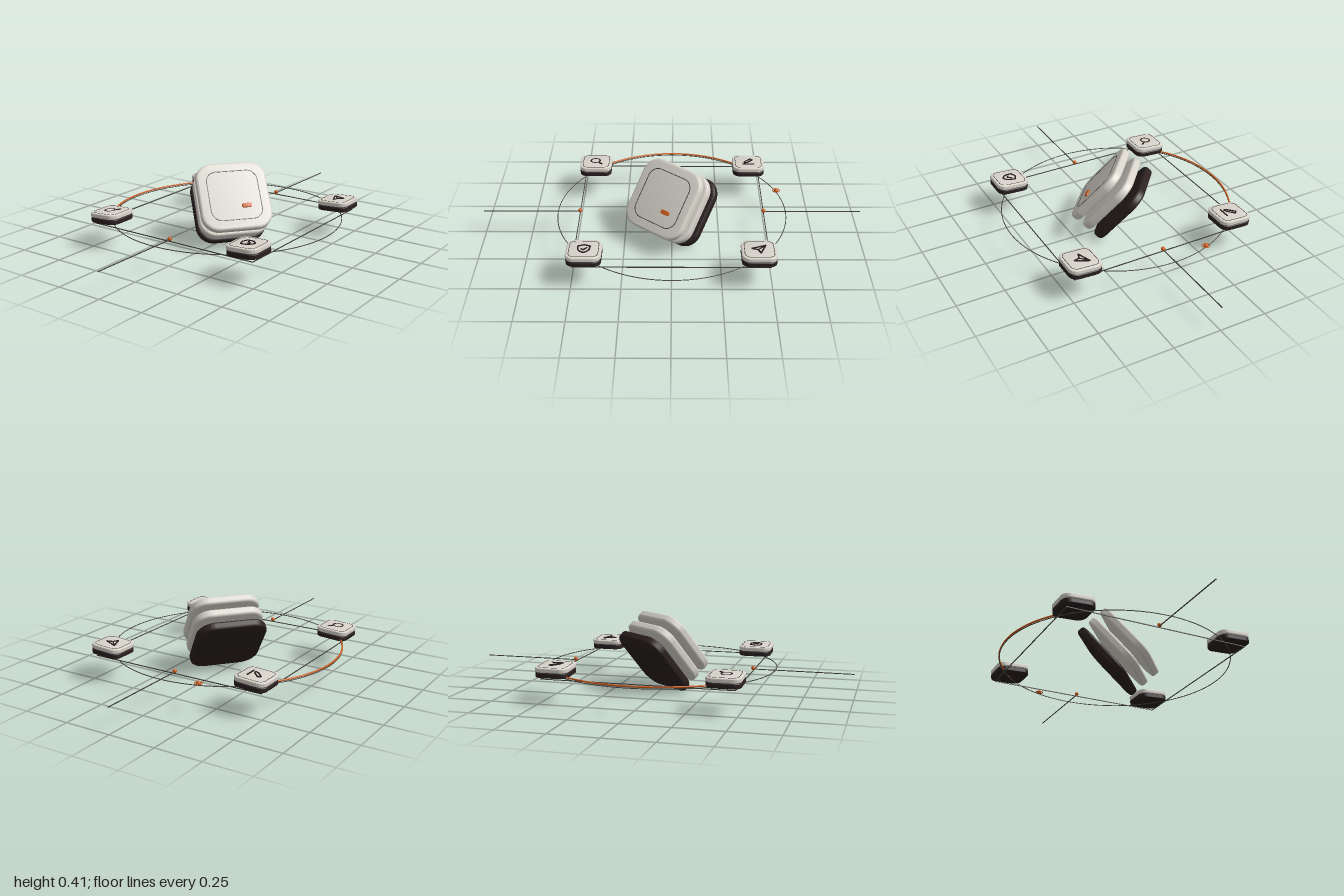
import * as THREE from 'three';
import { toCreasedNormals } from 'three/addons/utils/BufferGeometryUtils.js';

const mat = (name, color) => new THREE.MeshStandardMaterial({ name, color });

export function createModel() {
  const shell = mat('warm light shell', 0xd8d4cb);
  const dark = mat('dark brown', 0x2a1f1f);
  const line = mat('grey line', 0x454341);
  const orange = mat('orange', 0xcc5c1c);

  const model = new THREE.Group();
  model.name = 'orbitDisplay';

  const add = (parent, name, geometry, material, x = 0, y = 0, z = 0) => {
    const mesh = new THREE.Mesh(geometry, material);
    mesh.name = name;
    mesh.position.set(x, y, z);
    parent.add(mesh);
    return mesh;
  };

  // Square with rounded corners, h = half width, r = corner radius
  const roundedSquare = (h, r, hv = h, Type = THREE.Shape) => {
    const s = new Type();
    s.absarc(h - r, hv - r, r, 0, Math.PI / 2);
    s.absarc(r - h, hv - r, r, Math.PI / 2, Math.PI);
    s.absarc(r - h, r - hv, r, Math.PI, Math.PI * 1.5);
    s.absarc(h - r, r - hv, r, Math.PI * 1.5, Math.PI * 2);
    s.closePath();
    return s;
  };

  // Softly bevelled slab, centred on its thickness
  const slab = (h, r, t, bevel, hv = h) => {
    const g = new THREE.ExtrudeGeometry(roundedSquare(h - bevel, r - bevel, hv - bevel), {
      depth: t - 2 * bevel, bevelEnabled: true, bevelSize: bevel,
      bevelThickness: bevel, bevelSegments: 3, curveSegments: 10,
    });
    g.translate(0, 0, -t / 2 + bevel);
    return toCreasedNormals(g, 0.6);
  };

  // Thin outline inlaid on a face
  const outline = (h, r, w) => {
    const s = roundedSquare(h, r);
    s.holes.push(roundedSquare(h - w, r - w, h - w, THREE.Path));
    return new THREE.ExtrudeGeometry(s, { depth: 0.002, bevelEnabled: false, curveSegments: 10 });
  };

  // Central stack of three tilted slabs
  const stack = new THREE.Group();
  stack.name = 'centralStack';
  stack.position.set(0, 0.203, 0.022);
  stack.rotation.set(-0.69, -0.7, 0, 'YXZ');
  model.add(stack);
  const slabGeometry = slab(0.188, 0.09, 0.045, 0.013);
  add(stack, 'bottomSlab', slabGeometry, dark, 0, 0, -0.078);
  add(stack, 'middleSlab', slabGeometry, shell);
  add(stack, 'topSlab', slabGeometry, shell, 0, 0, 0.078);
  add(stack, 'panelOutline', outline(0.138, 0.058, 0.004), line, 0, 0, 0.1);
  add(stack, 'orangeMark', slab(0.026, 0.009, 0.012, 0.002, 0.011), orange, 0.056, -0.062, 0.104);

  // Icon strokes: flat bars joined by round dots
  const stroke = (parent, points, closed = false, w = 0.009) => {
    const pts = closed ? [...points, points[0]] : points;
    pts.forEach(([x, y], i) => {
      add(parent, 'strokeJoint', new THREE.CircleGeometry(w / 2, 10), dark, x, y, 0.002);
      if (!i) return;
      const [px, py] = pts[i - 1];
      const bar = add(parent, 'strokeBar', new THREE.BoxGeometry(Math.hypot(x - px, y - py), w, 0.004),
        dark, (x + px) / 2, (y + py) / 2, 0);
      bar.rotation.z = Math.atan2(y - py, x - px);
    });
  };
  const icons = {
    search: (g) => {
      add(g, 'lensRing', new THREE.RingGeometry(0.021, 0.03, 28), dark, -0.005, 0.005, 0.002);
      stroke(g, [[0.017, -0.017], [0.034, -0.034]]);
    },
    edit: (g) => {
      stroke(g, [[-0.024, -0.018], [-0.02, -0.002], [0.014, 0.032], [0.026, 0.02], [-0.008, -0.014]], true, 0.007);
      stroke(g, [[-0.032, -0.033], [0.032, -0.033]], false, 0.007);
    },
    shield: (g) => {
      stroke(g, [[0, 0.036], [0.03, 0.024], [0.028, -0.008], [0.018, -0.024], [0, -0.036],
        [-0.018, -0.024], [-0.028, -0.008], [-0.03, 0.024]], true, 0.007);
      stroke(g, [[-0.013, -0.001], [-0.003, -0.011], [0.015, 0.009]], false, 0.007);
    },
    send: (g) => {
      stroke(g, [[0.034, 0.034], [-0.036, 0.006], [-0.006, -0.006], [0.006, -0.036]], true, 0.007);
      stroke(g, [[-0.006, -0.006], [0.034, 0.034]], false, 0.005);
    },
  };

  // Four corner tiles
  const tileBase = slab(0.087, 0.042, 0.026, 0.005);
  const tileTop = slab(0.088, 0.042, 0.024, 0.007);
  const tileOutline = outline(0.074, 0.032, 0.003);
  const tile = (name, x, z) => {
    const g = new THREE.Group();
    g.name = name + 'Tile';
    g.position.set(x, 0.164, z);
    g.rotation.x = -Math.PI / 2 - 0.06;
    model.add(g);
    add(g, 'tileBase', tileBase, dark, 0, 0, -0.012);
    add(g, 'tileTop', tileTop, shell, 0, 0, 0.014);
    add(g, 'tileOutline', tileOutline, line, 0, 0, 0.0248);
    const icon = new THREE.Group();
    icon.name = name + 'Icon';
    icon.position.z = 0.0275;
    g.add(icon);
    icons[name](icon);
  };
  tile('search', -0.43, -0.427);
  tile('edit', 0.43, -0.427);
  tile('shield', -0.43, 0.427);
  tile('send', 0.43, 0.427);

  // Orbit ring and its highlighted rear arc
  const ring = add(model, 'orbitRing', new THREE.TorusGeometry(0.603, 0.0022, 6, 128), line, 0, 0.133, 0);
  ring.rotation.x = -Math.PI / 2;
  const arcGeometry = new THREE.TorusGeometry(0.603, 0.0045, 8, 64, Math.PI / 2);
  arcGeometry.rotateZ(Math.PI / 4);
  add(model, 'orangeArc', arcGeometry, orange, 0, 0.142, 0).rotation.x = -Math.PI / 2;

  // Square frame, side lines and their end beads
  for (const s of [-1, 1]) {
    add(model, 'frameBar', new THREE.BoxGeometry(0.976, 0.004, 0.004), line, 0, 0.125, s * 0.487);
    add(model, 'frameBar', new THREE.BoxGeometry(0.004, 0.004, 0.976), line, s * 0.487, 0.125, 0);
    add(model, 'sideLine', new THREE.BoxGeometry(0.512, 0.004, 0.004), line, s * 0.744, 0.133, 0);
    add(model, 'sideBead', new THREE.SphereGeometry(0.011, 16, 12), orange, s * 0.487, 0.138, 0);
  }

  // Bead travelling on the orbit, with a small halo
  add(model, 'orbitBead', new THREE.SphereGeometry(0.012, 16, 12), orange, 0.571, 0.144, -0.195);
  const halo = add(model, 'beadHalo', new THREE.TorusGeometry(0.019, 0.0022, 6, 32), orange, 0.571, 0.144, -0.195);
  halo.rotation.x = -Math.PI / 2;

  return model;
}
